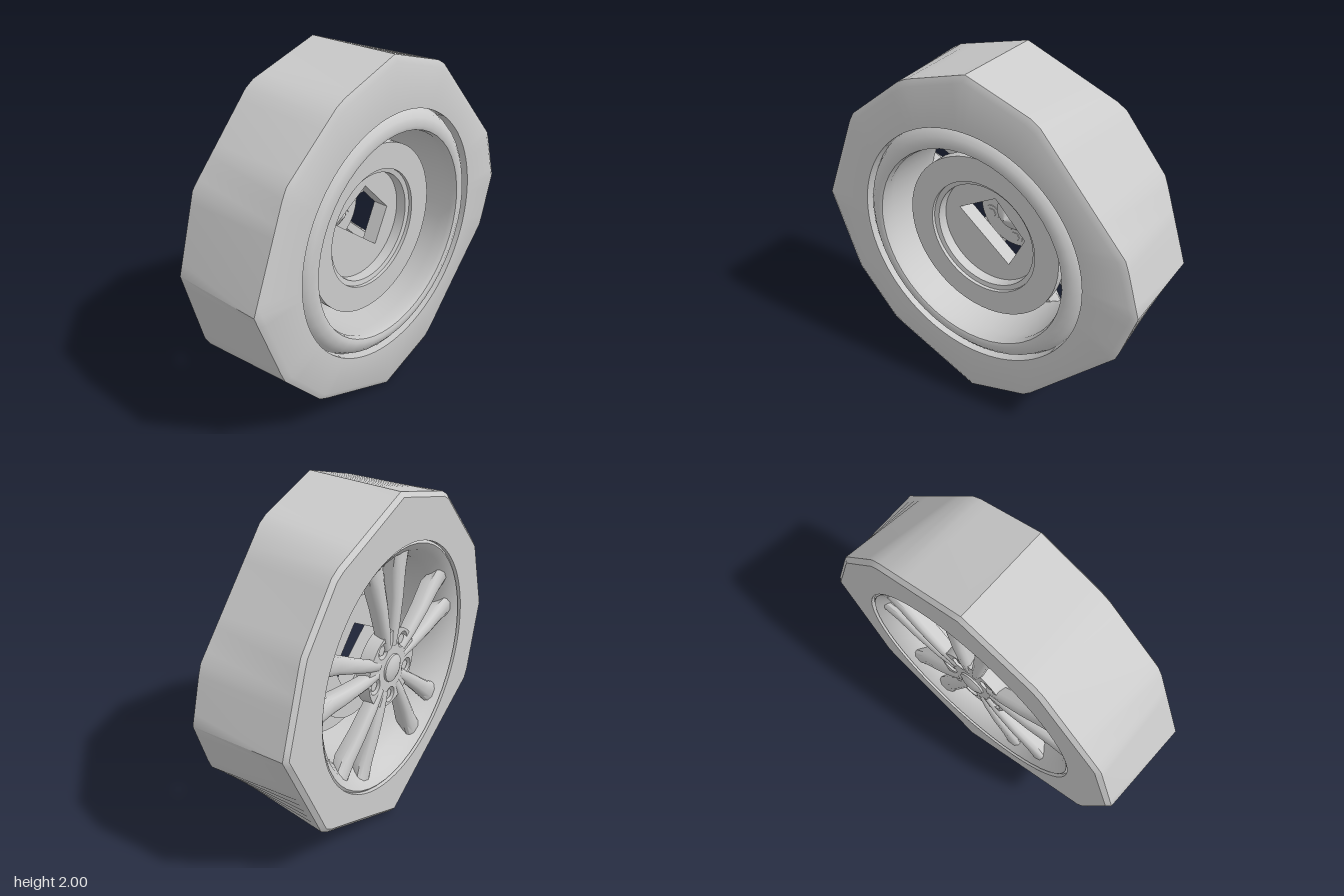
import * as THREE from 'three';
import { toCreasedNormals } from 'three/addons/utils/BufferGeometryUtils.js';

const material = new THREE.MeshStandardMaterial({ color: 0xcccccc, side: THREE.DoubleSide });
const V = (x, y) => new THREE.Vector2(x, y);

function add(parent, name, geometry) {
  const mesh = new THREE.Mesh(geometry, material);
  mesh.name = name;
  parent.add(mesh);
  return mesh;
}

// Skin a series of closed cross-sections; optionally join the last to the first
function loft(rings, closed, crease) {
  const n = rings[0].length, pos = rings.flat(2), index = [];
  const count = closed ? rings.length : rings.length - 1;
  for (let i = 0; i < count; i++) {
    for (let j = 0; j < n; j++) {
      const i2 = (i + 1) % rings.length, j2 = (j + 1) % n;
      const a = i * n + j, b = i * n + j2, c = i2 * n + j2, d = i2 * n + j;
      index.push(a, b, c, a, c, d);
    }
  }
  const g = new THREE.BufferGeometry();
  g.setAttribute('position', new THREE.Float32BufferAttribute(pos, 3));
  g.setIndex(index);
  return toCreasedNormals(g, crease);
}

// Turned part about the x axis; profile points are [radius, x]
function turned(profile, crease = 0.7, segments = 48) {
  const g = new THREE.LatheGeometry(profile.map(p => V(p[0], p[1])), segments);
  g.rotateZ(-Math.PI / 2);
  return toCreasedNormals(g, crease);
}

// Plate in the wheel plane, from x0 to x1; shape coordinates are (-z, y)
function plate(shape, x0, x1) {
  const g = new THREE.ExtrudeGeometry(shape, { depth: x1 - x0, bevelEnabled: false, curveSegments: 40 });
  g.rotateY(Math.PI / 2);
  g.translate(x0, 0, 0);
  return toCreasedNormals(g, 0.6);
}

// Distance from the axle to the edge of a convex outline of [z, y] points
function outlineRadius(outline, angle) {
  const dz = Math.cos(angle), dy = Math.sin(angle);
  let best = Infinity;
  outline.forEach((a, i) => {
    const b = outline[(i + 1) % outline.length];
    const ez = b[0] - a[0], ey = b[1] - a[1];
    const t = (a[0] * ey - a[1] * ez) / (dz * ey - dy * ez);
    if (t > 0) best = Math.min(best, t);
  });
  return best;
}

function makeTire() {
  // Coarse, uneven outlines of the inner (+x) and outer (-x) shoulders
  const inner = [[0, 1], [-0.4, 0.87], [-0.91, 0.3], [-1, 0], [-0.91, -0.3], [-0.38, -0.87],
    [0, -1], [0.57, -0.76], [0.83, -0.47], [1, 0], [0.77, 0.57], [0.4, 0.87]];
  const outer = [[0, 0.99], [-0.57, 0.78], [-0.83, 0.47], [-0.99, 0], [-0.7, -0.64],
    [0, -0.985], [0.87, -0.48], [0.99, 0], [0.86, 0.43], [0.46, 0.86]];
  const rings = [], steps = 96;
  for (let i = 0; i < steps; i++) {
    const a = i / steps * Math.PI * 2;
    const ri = outlineRadius(inner, a), ro = outlineRadius(outer, a);
    const section = [[0.2, 0.7], [0.28, 0.7], [0.28, ri - 0.035], [0.262, ri],
      [-0.275, ro], [-0.295, ro - 0.025], [-0.295, 0.705], [-0.25, 0.7]];
    rings.push(section.map(([x, r]) => [x, r * Math.sin(a), r * Math.cos(a)]));
  }
  return loft(rings, true, 0.6);
}

// One spoke along +z: rounded outer face, narrower back
function makeSpoke() {
  const stations = [[0.13, 0.03, -0.255, 0.07], [0.24, 0.036, -0.262, 0.08],
    [0.4, 0.043, -0.262, 0.09], [0.55, 0.052, -0.255, 0.1], [0.65, 0.064, -0.255, 0.07]];
  const rings = stations.map(([r, w, face, depth]) => [
    [face + depth, -w * 0.6, r], [face + depth * 0.35, -w, r], [face + 0.012, -w * 0.85, r], [face, -w * 0.4, r],
    [face, w * 0.4, r], [face + 0.012, w * 0.85, r], [face + depth * 0.35, w, r], [face + depth, w * 0.6, r]]);
  return loft(rings, false, 0.8);
}

export function createModel() {
  const model = new THREE.Group();
  model.name = 'wheel';
  const wheel = new THREE.Group();
  wheel.name = 'wheelAssembly';
  wheel.position.y = 1;
  model.add(wheel);

  add(wheel, 'tire', makeTire());

  // Rim barrel with a rolled inner lip and flared outer lip
  add(wheel, 'rim', turned([[0.71, -0.27], [0.66, -0.2], [0.62, -0.1], [0.62, 0.15], [0.7, 0.22],
    [0.68, 0.255], [0.65, 0.278], [0.61, 0.29], [0.588, 0.282], [0.58, 0.25], [0.595, 0.18],
    [0.585, -0.08], [0.6, -0.18], [0.645, -0.25], [0.69, -0.285], [0.71, -0.27]], 0.9));

  // Five pairs of spokes
  const spoke = makeSpoke();
  for (let k = 0; k < 5; k++) {
    for (const side of [-1, 1]) {
      const angle = THREE.MathUtils.degToRad(20 + 72 * k + side * 11);
      add(wheel, 'spoke', spoke).rotation.x = -angle;
    }
  }

  // Hub plate with five bolt holes, each holding a hexagonal nut
  const hub = new THREE.Shape().absarc(0, 0, 0.225, 0, Math.PI * 2);
  for (let k = 0; k < 5; k++) {
    const a = THREE.MathUtils.degToRad(50 + 72 * k);
    const z = 0.165 * Math.cos(a), y = 0.165 * Math.sin(a);
    hub.holes.push(new THREE.Path().absarc(-z, y, 0.045, 0, Math.PI * 2, true));
    const nut = add(wheel, 'lugNut', toCreasedNormals(new THREE.CylinderGeometry(0.03, 0.03, 0.08, 6), 0.5));
    nut.rotation.z = Math.PI / 2;
    nut.position.set(-0.2, y, z);
    const seat = add(wheel, 'nutSeat', turned([[0.026, -0.19], [0.048, -0.175], [0.048, -0.165], [0.026, -0.165]], 0.5, 16));
    seat.position.set(0, y, z);
  }
  add(wheel, 'hub', plate(hub, -0.25, -0.17));
  add(wheel, 'centerCap', turned([[0, -0.275], [0.05, -0.272], [0.078, -0.26], [0.082, -0.24]].reverse(), 0.9, 24));
  add(wheel, 'hubCone', turned([[0.1, -0.17], [0.1, -0.14], [0, -0.06]], 0.5, 32));

  // Brake disc with a recessed hat
  add(wheel, 'brakeDisc', turned([[0.31, -0.03], [0.36, -0.03], [0.36, 0.09], [0.485, 0.09], [0.485, 0.145],
    [0.34, 0.145], [0.34, 0.125], [0.312, 0.12], [0.31, -0.03]], 0.4, 64));

  // Hat floor with an irregular four-sided opening
  const floor = new THREE.Shape().absarc(0, 0, 0.33, 0, Math.PI * 2);
  floor.holes.push(new THREE.Path([V(0.03, 0.22), V(0.22, 0.02), V(0.12, -0.18), V(-0.21, 0.08)]));
  add(wheel, 'brakeHat', plate(floor, -0.03, 0.06));

  return model;
}
